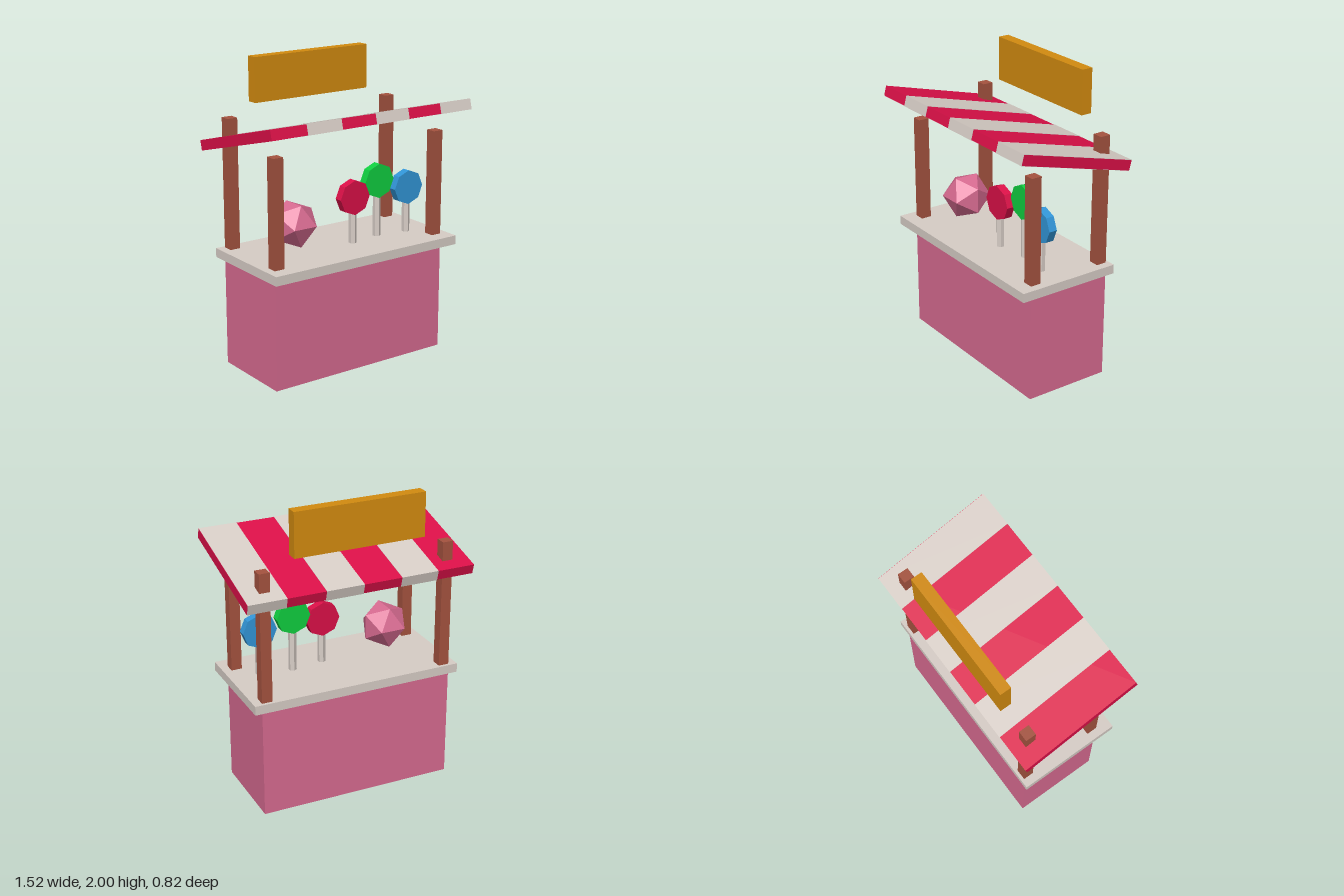
import * as THREE from 'three';

const mat = (name, color, flatShading = false) => {
  const m = new THREE.MeshStandardMaterial({ color, flatShading });
  m.name = name;
  return m;
};

export function createModel() {
  const pink = mat('pink', 0xd86b91, true);
  const cream = mat('cream', 0xd8cec7, true);
  const wood = mat('wood', 0xa65440, true);
  const red = mat('red', 0xdc1048, true);
  const gold = mat('gold', 0xd48c10, true);
  const green = mat('green', 0x10d040, true);
  const blue = mat('blue', 0x3296d8, true);

  const root = new THREE.Group();
  root.name = 'marketStall';

  const add = (parent, name, geometry, material, x, y, z) => {
    const mesh = new THREE.Mesh(geometry, material);
    mesh.name = name;
    mesh.position.set(x, y, z);
    parent.add(mesh);
    return mesh;
  };
  const box = (parent, name, material, w, h, d, x, y, z) =>
    add(parent, name, new THREE.BoxGeometry(w, h, d), material, x, y, z);

  // Counter body and overhanging top
  box(root, 'counterBody', pink, 1.306, 0.73, 0.58, 0, 0.365, -0.035);
  box(root, 'counterTop', cream, 1.414, 0.06, 0.695, 0, 0.76, 0.002);

  // Posts: short pair in front, tall pair behind
  for (const side of [-1, 1]) {
    const label = side > 0 ? 'Left' : 'Right';
    box(root, 'frontPost' + label, wood, 0.07, 0.7, 0.07, side * 0.618, 1.14, 0.22);
    box(root, 'backPost' + label, wood, 0.07, 0.85, 0.07, side * 0.618, 1.215, -0.29);
  }

  // Sloping awning: red slab wrapped by slightly proud cream stripes
  const awning = new THREE.Group();
  awning.name = 'awning';
  awning.position.set(0, 1.567, 0);
  awning.rotation.x = -0.26;
  root.add(awning);
  const stripe = 0.254;
  box(awning, 'awningSlab', red, stripe * 6, 0.066, 0.828, 0, 0, 0);
  for (let i = 1; i < 6; i += 2) {
    box(awning, 'awningStripe', cream, stripe - 0.002, 0.07, 0.832, (i - 2.5) * stripe - 0.001, 0, 0);
  }

  // Sign board above the awning
  box(root, 'signBoard', gold, 0.872, 0.29, 0.075, 0, 1.855, -0.313);

  // Faceted candy ball
  const ball = add(root, 'candyBall', new THREE.IcosahedronGeometry(0.158, 0), pink, -0.366, 0.985, 0.037);
  ball.rotation.y = Math.PI / 2;

  // Lollipops: octagonal heads on thin sticks
  const lollipops = [
    ['red', red, 0.07, 1.095, 0.07],
    ['green', green, 0.29, 1.165, 0.037],
    ['blue', blue, 0.507, 1.095, 0.07],
  ];
  for (const [name, material, x, y, z] of lollipops) {
    const pop = new THREE.Group();
    pop.name = name + 'Lollipop';
    root.add(pop);
    const length = y - 0.79;
    add(pop, 'stick', new THREE.CylinderGeometry(0.026, 0.026, length, 6), cream, x, 0.79 + length / 2, z);
    const head = add(pop, 'head', new THREE.CylinderGeometry(0.115, 0.115, 0.056, 8), material, x, y, z);
    head.rotation.x = Math.PI / 2;
  }

  return root;
}
